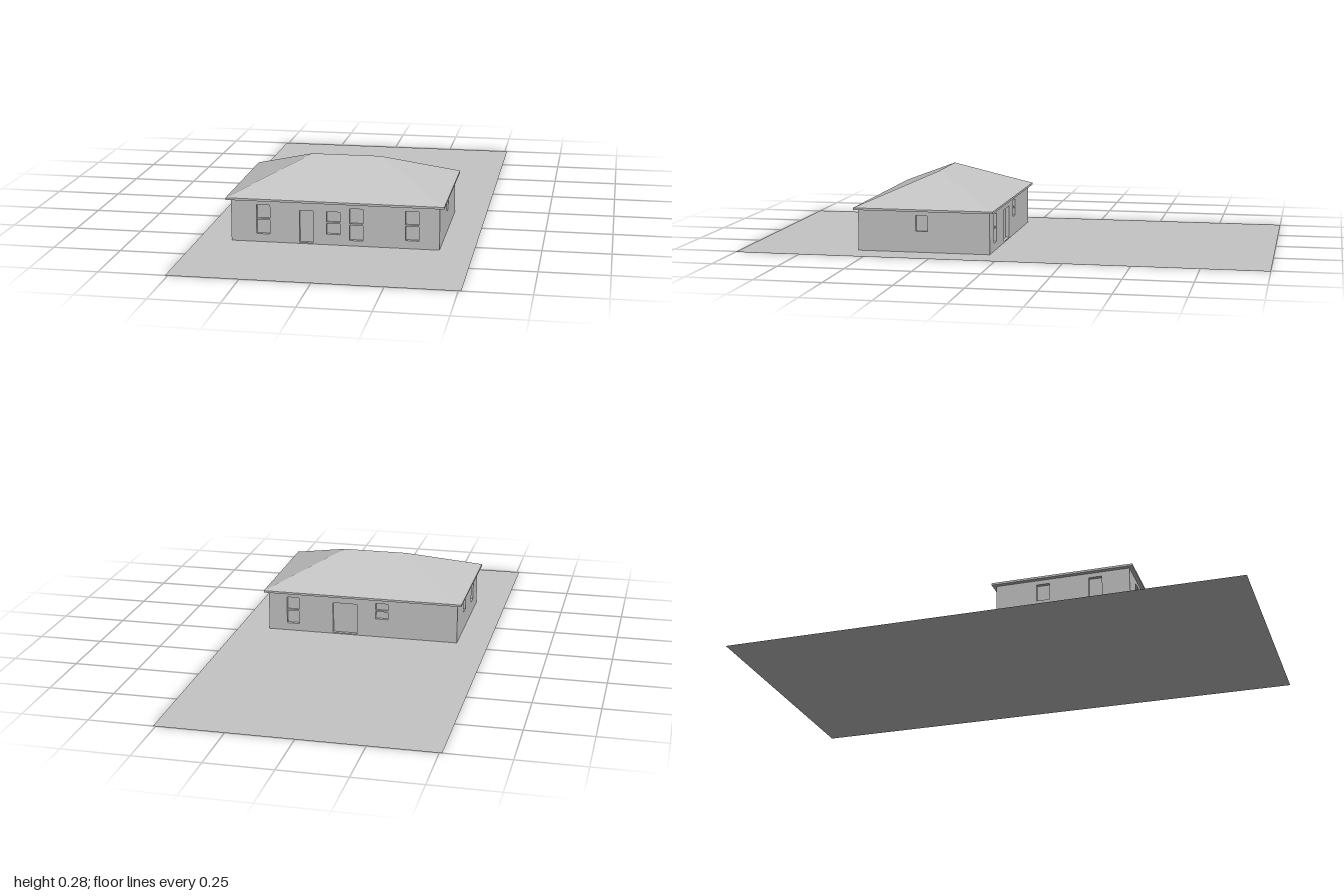
import * as THREE from 'three';

const HALF_X = 0.385, HALF_Z = 0.255, CENTER_Z = 0.3;
const WALL_H = 0.16, DEPTH = 0.014;

export function createModel() {
  const model = new THREE.Group();
  model.name = 'houseOnPlot';
  const grey = new THREE.MeshStandardMaterial({ color: 0xc4c4c4 });
  grey.name = 'plain grey';
  const greySheet = new THREE.MeshStandardMaterial({ color: 0xc4c4c4, side: THREE.DoubleSide });
  greySheet.name = 'plain grey sheet';

  const add = (parent, name, geometry, x, y, z, material = grey) => {
    const mesh = new THREE.Mesh(geometry, material);
    mesh.name = name;
    mesh.position.set(x, y, z);
    parent.add(mesh);
    return mesh;
  };

  // Flat plot of land
  const plot = new THREE.PlaneGeometry(1.02, 2).rotateX(-Math.PI / 2);
  add(model, 'plot', plot, 0, 0, 0, greySheet);

  const house = new THREE.Group();
  house.name = 'house';
  house.position.z = CENTER_Z;
  model.add(house);

  // Solid core: its faces form the recessed panes
  add(house, 'panes', new THREE.BoxGeometry(2 * (HALF_X - DEPTH), WALL_H, 2 * (HALF_Z - DEPTH)),
    0, WALL_H / 2, 0);

  // Wall panel with openings [x0, x1, y0, y1, middle rail], x to the right seen from outside
  function addWall(name, angle, halfWidth, distance, openings) {
    const wall = new THREE.Group();
    wall.name = name;
    wall.rotation.y = angle;
    house.add(wall);
    const shape = new THREE.Shape();
    shape.moveTo(-halfWidth, 0).lineTo(halfWidth, 0).lineTo(halfWidth, WALL_H).lineTo(-halfWidth, WALL_H);
    for (const [x0, x1, y0, y1, rail] of openings) {
      const hole = new THREE.Path();
      hole.moveTo(x0, y0).lineTo(x0, y1).lineTo(x1, y1).lineTo(x1, y0);
      shape.holes.push(hole);
      if (rail) {
        add(wall, 'windowRail', new THREE.BoxGeometry(x1 - x0, 0.006, DEPTH * 0.7),
          (x0 + x1) / 2, (y0 + y1) / 2, distance - DEPTH * 0.65);
      }
    }
    const panel = new THREE.ExtrudeGeometry(shape, { depth: DEPTH, bevelEnabled: false });
    add(wall, name + 'Panel', panel, 0, 0, distance - DEPTH);
  }

  addWall('frontWall', 0, HALF_X, HALF_Z, [
    [-0.29, -0.24, 0.03, 0.14, true],
    [-0.13, -0.08, 0.004, 0.125, false],
    [-0.03, 0.02, 0.04, 0.125, true],
    [0.055, 0.105, 0.02, 0.14, true],
    [0.26, 0.31, 0.03, 0.14, true],
  ]);
  addWall('backWall', Math.PI, HALF_X, HALF_Z, [
    [-0.31, -0.26, 0.03, 0.14, true],
    [-0.12, -0.02, 0.004, 0.13, false],
    [0.055, 0.105, 0.075, 0.14, true],
  ]);
  addWall('rightEndWall', Math.PI / 2, HALF_Z - DEPTH, HALF_X, [
    [-0.03, 0.015, 0.08, 0.14, false],
  ]);
  addWall('leftEndWall', -Math.PI / 2, HALF_Z - DEPTH, HALF_X, [
    [-0.1, -0.05, 0.075, 0.14, false],
    [0.1, 0.15, 0.05, 0.14, false],
  ]);

  // Eave slab
  add(house, 'eaves', new THREE.BoxGeometry(0.804, 0.008, 0.54), 0, 0.161, 0);

  // Hipped roof: a box whose top is drawn in to a short ridge
  const roof = new THREE.BoxGeometry(0.804, 0.113, 0.54);
  const p = roof.attributes.position;
  for (let i = 0; i < p.count; i++) {
    if (p.getY(i) > 0) {
      p.setX(i, Math.sign(p.getX(i)) * 0.13);
      p.setZ(i, 0);
    }
  }
  roof.computeVertexNormals();
  add(house, 'hippedRoof', roof, 0, 0.165 + 0.0565, 0);

  return model;
}
